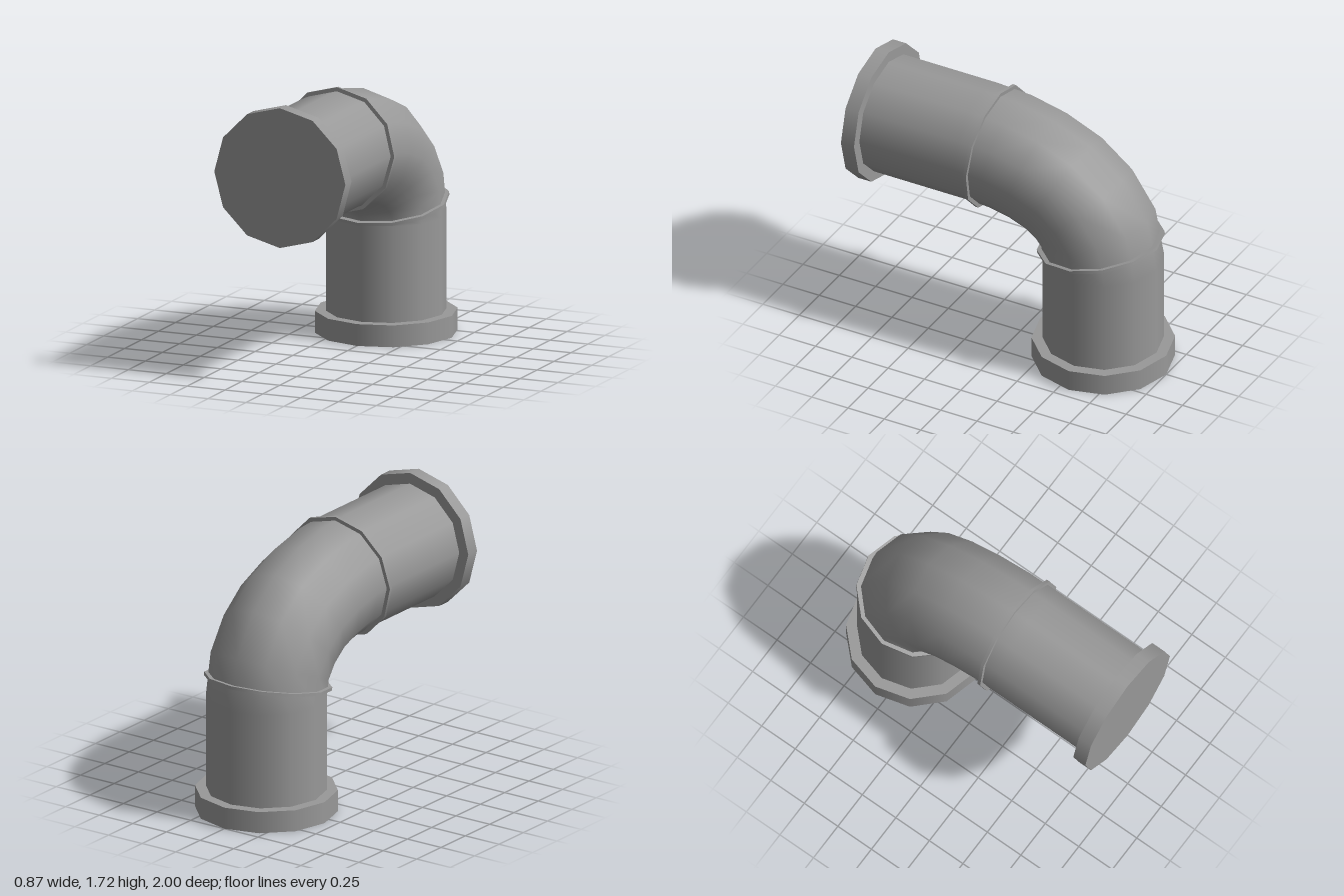
import * as THREE from 'three';

const SIDES = 12;
const PIPE_R = 0.366;

// Sweeps a 12-sided section through stations [z, y, angle in degrees], with radial smooth normals.
function sweptPipe(stations, radius) {
  const pos = [], nor = [], index = [];
  stations.forEach(([z, y, deg], i) => {
    const a = THREE.MathUtils.degToRad(deg);
    for (let j = 0; j <= SIDES; j++) {
      const p = (j / SIDES) * Math.PI * 2;
      const n = [Math.sin(p), Math.cos(p) * Math.cos(a), -Math.cos(p) * Math.sin(a)];
      nor.push(...n);
      pos.push(n[0] * radius, y + n[1] * radius, z + n[2] * radius);
      if (i > 0 && j < SIDES) {
        const c = i * (SIDES + 1) + j, b = c - SIDES - 1;
        index.push(b, b + 1, c, b + 1, c + 1, c);
      }
    }
  });
  const g = new THREE.BufferGeometry();
  g.setAttribute('position', new THREE.Float32BufferAttribute(pos, 3));
  g.setAttribute('normal', new THREE.Float32BufferAttribute(nor, 3));
  g.setIndex(index);
  return g;
}

export function createModel() {
  const group = new THREE.Group();
  const grey = new THREE.MeshStandardMaterial({ color: 0x999999 });
  grey.name = 'pipe grey';

  const add = (name, geometry) => {
    const mesh = new THREE.Mesh(geometry, grey);
    mesh.name = name;
    group.add(mesh);
    return mesh;
  };

  // Disc centred on the pipe axis; angle 0 faces forward, 90 faces down
  const disc = (name, radius, thickness, z, y, deg) => {
    const mesh = add(name, new THREE.CylinderGeometry(radius, radius, thickness, SIDES));
    mesh.position.set(0, y, z);
    mesh.rotation.x = THREE.MathUtils.degToRad(90 - deg);
  };

  // Straight sections and elbow between them
  const bend = [
    [0.26, 1.28, 0], [0.071, 1.269, 8], [-0.12, 1.227, 17.5], [-0.298, 1.154, 30],
    [-0.435, 1.049, 46.5], [-0.534, 0.907, 67], [-0.567, 0.73, 90],
  ];
  add('horizontalPipe', sweptPipe([[0.95, 1.28, 0], bend[0]], PIPE_R));
  add('elbow', sweptPipe(bend, PIPE_R));
  add('verticalPipe', sweptPipe([bend[6], [-0.567, 0.06, 90]], PIPE_R));

  // End flanges
  disc('frontFlange', 0.433, 0.09, 0.955, 1.282, 0);
  disc('baseFlange', 0.433, 0.135, -0.567, 0.0675, 90);

  // Thin joint collars, slightly tilted with the bend
  disc('frontCollar', 0.39, 0.02, 0.174, 1.275, 3.7);
  disc('lowerCollar', 0.39, 0.02, -0.55, 0.814, 79.6);

  return group;
}
